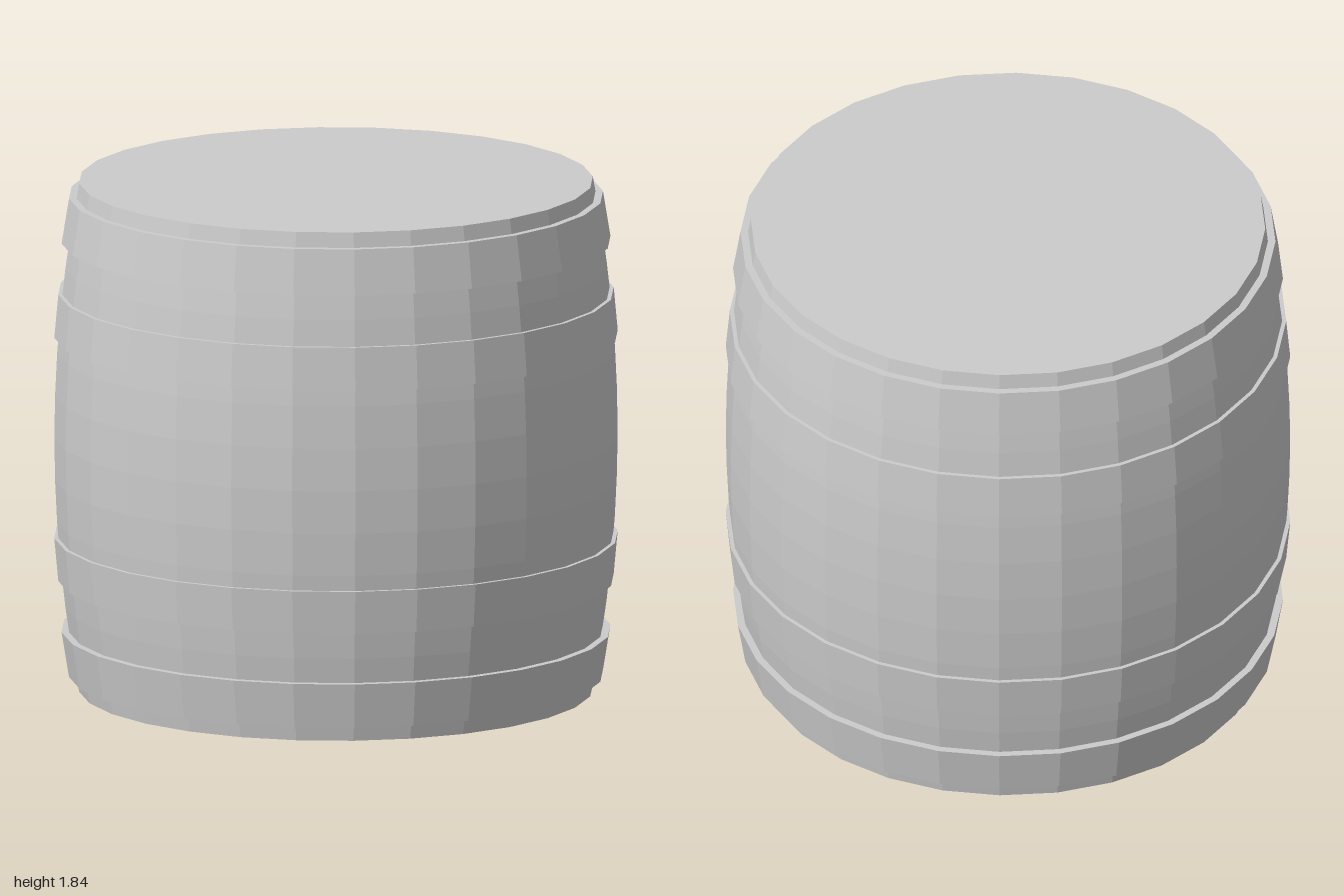
import * as THREE from 'three';

const SIDES = 28, HEIGHT = 1.836, ROWS = 12;

// Bulging barrel radius at a given height
function radiusAt(y) {
  const t = (y - HEIGHT / 2) / (HEIGHT / 2);
  return 0.91 + 0.088 * (1 - t * t);
}

export function createModel() {
  const group = new THREE.Group();
  group.name = 'barrel';
  const grey = new THREE.MeshStandardMaterial({ color: 0xcccccc, flatShading: true });
  grey.name = 'light grey';

  const lathe = (name, points) => {
    const geometry = new THREE.LatheGeometry(points.map(([r, y]) => new THREE.Vector2(r, y)), SIDES);
    const mesh = new THREE.Mesh(geometry, grey);
    mesh.name = name;
    group.add(mesh);
  };

  // Bulging body with flat ends
  const profile = [[0, 0]];
  for (let i = 0; i <= ROWS; i++) {
    const y = (HEIGHT * i) / ROWS;
    profile.push([radiusAt(y), y]);
  }
  profile.push([0, HEIGHT]);
  lathe('body', profile);

  // Hoops: closed bands following the body, mirrored top to bottom
  const hoop = (name, y0, y1, thickness) => lathe(name, [
    [radiusAt(y0) - 0.02, y0],
    [radiusAt(y0) + thickness, y0],
    [radiusAt(y1) + thickness, y1],
    [radiusAt(y1) - 0.02, y1],
  ]);
  for (const [name, y0, y1, thickness] of [['EndHoop', 1.62, 1.782, 0.026], ['MiddleHoop', 1.28, 1.435, 0.014]]) {
    hoop('upper' + name, y0, y1, thickness);
    hoop('lower' + name, HEIGHT - y1, HEIGHT - y0, thickness);
  }
  return group;
}
